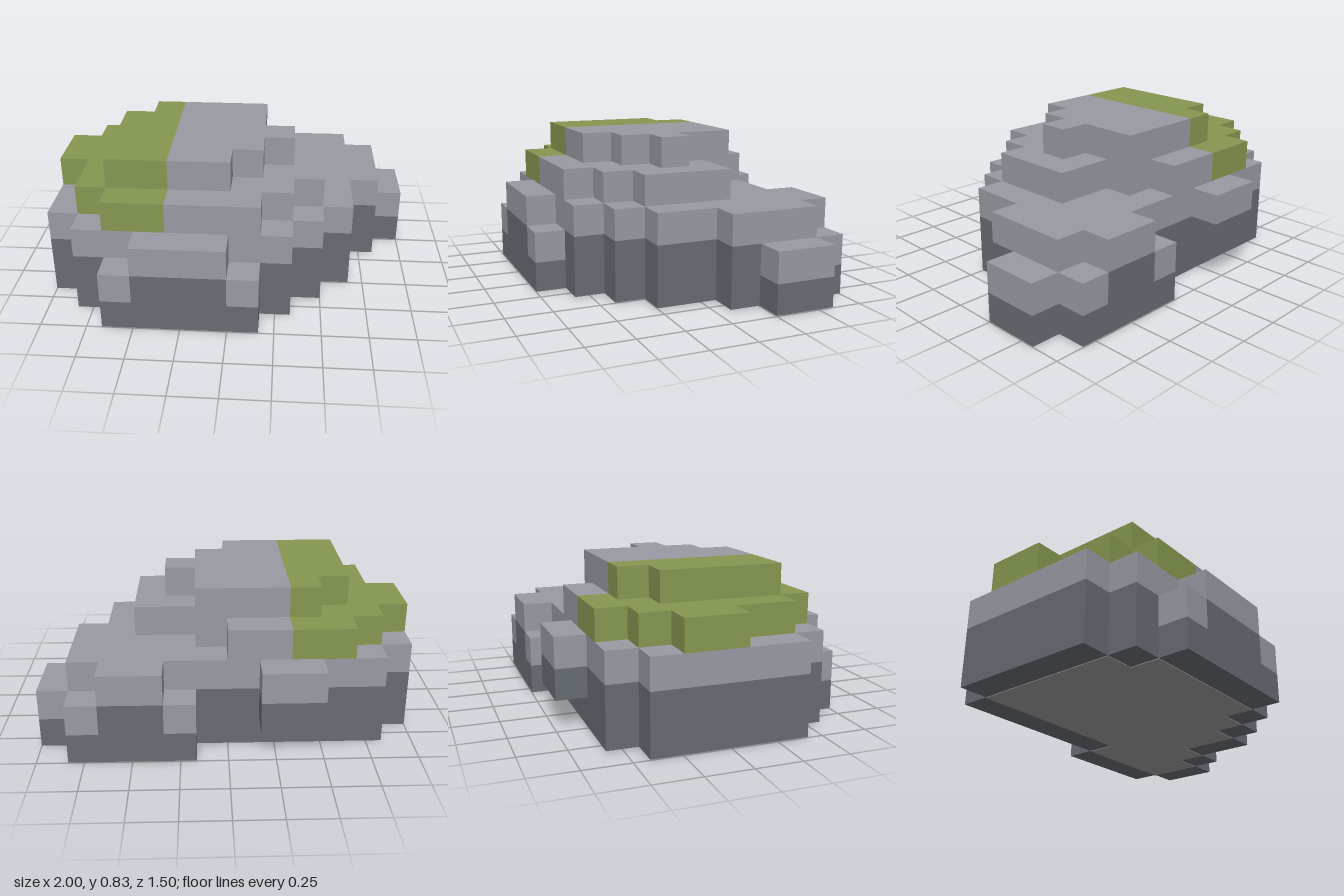
import * as THREE from 'three';

const CELL = 1 / 6;      // size of one block
const MOSS_EDGE = 4;     // column where the moss stops

const material = (name, color) => {
  const m = new THREE.MeshStandardMaterial({ color });
  m.name = name;
  return m;
};

// Extrudes a stepped outline. Each row is one block deep and spans columns [from, to].
function slab(name, rows, firstRow, bottom, top, mat) {
  const left = [], right = [];
  rows.forEach(([from, to], i) => {
    for (const k of [firstRow + i, firstRow + i + 1]) {
      left.push([from, k]);
      right.push([to, k]);
    }
  });
  const corners = [...right, ...left.reverse()]
    .filter(([x, k], i, all) => i === 0 || x !== all[i - 1][0] || k !== all[i - 1][1])
    .map(([x, k]) => new THREE.Vector2((x - 6) * CELL, (4.5 - k) * CELL));
  const geometry = new THREE.ExtrudeGeometry(new THREE.Shape(corners), {
    depth: (top - bottom) * CELL,
    bevelEnabled: false,
  });
  geometry.rotateX(-Math.PI / 2).translate(0, bottom * CELL, 0);
  const mesh = new THREE.Mesh(geometry, mat);
  mesh.name = name;
  return mesh;
}

export function createModel() {
  const stone = material('light stone', 0x989aa2);
  const slate = material('dark stone', 0x676c73);
  const moss = material('moss', 0x859750);
  const earth = material('underside stone', 0x9a9a9a);

  const rock = new THREE.Group();
  rock.name = 'rock';

  // Footprints, from the back row to the front row
  const base = [[7, 11], [1, 12], [0, 12], [0, 11], [0, 10], [0, 10], [0, 9], [1, 8], [2, 7]];
  const middle = [[8, 10], [1, 11], [0, 11], [0, 11], [0, 10], [0, 10], [0, 9], [1, 8], [3, 6]];
  const shoulder = [[2, 6], [1, 7], [0, 9], [0, 9], [1, 9], [1, 8], [2, 7]];
  const crown = [[3, 7], [2, 7], [2, 8], [2, 7], [2, 6]];
  const underside = [[7, 11], [1, 11], [1, 10], [1, 9], [1, 9], [1, 8], [2, 7]];

  // Dark foot with a paler patch underneath
  rock.add(
    slab('undersidePatch', underside, 1, 0, 0.02, earth),
    slab('base', base, 0, 0.02, 1, slate),
    slab('lowerBody', middle, 0, 1, 2, slate),
    slab('upperBody', middle, 0, 2, 3, stone),
  );

  // Low ledges around the foot: [first row, spans]
  const ledges = [
    [0, [[7, 8]]], [0, [[10, 11]]],
    [1, [[11, 12], [11, 12]]],
    [8, [[2, 3]]], [8, [[6, 7]]],
  ];
  for (const [row, spans] of ledges) rock.add(slab('ledge', spans, row, 1, 2, stone));

  // Overhanging lump at the back
  rock.add(
    slab('backLumpLower', [[3, 5]], 0, 1, 2, slate),
    slab('backLumpUpper', [[3, 5]], 0, 2, 3, stone),
  );

  // Two top tiers, mossy on one side
  const tiers = [['shoulder', shoulder, 1, 3], ['crown', crown, 2, 4]];
  for (const [name, rows, row, level] of tiers) {
    rock.add(
      slab(name + 'Moss', rows.map(([from]) => [from, MOSS_EDGE]), row, level, level + 1, moss),
      slab(name + 'Stone', rows.map(([, to]) => [MOSS_EDGE, to]), row, level, level + 1, stone),
    );
  }

  return rock;
}
